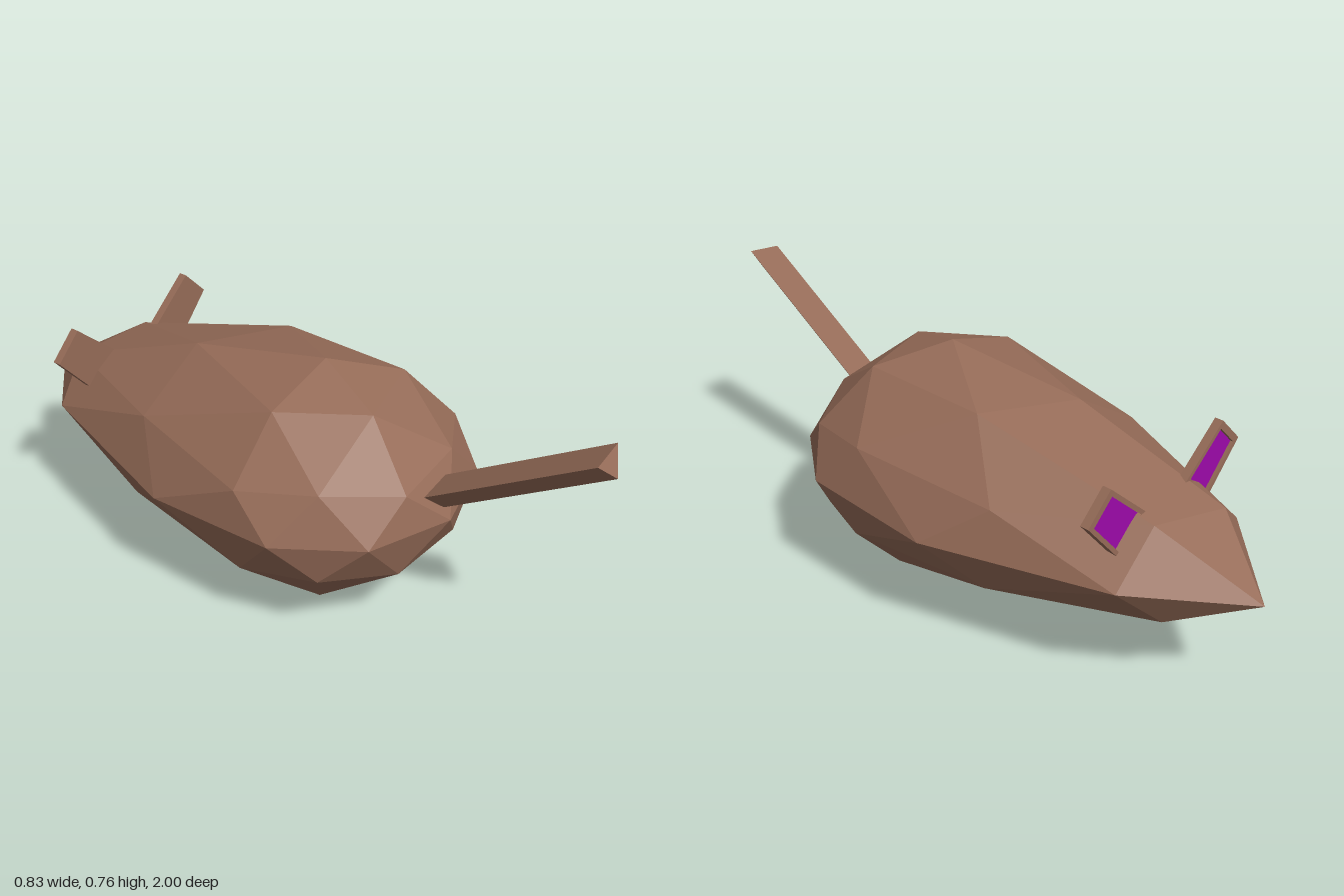
import * as THREE from 'three';

const fur = new THREE.MeshStandardMaterial({ color: 0x966c58, flatShading: true });
fur.name = 'brown fur';
const pink = new THREE.MeshStandardMaterial({ color: 0x9c0aaa, flatShading: true });
pink.name = 'purple inner ear';

// Linear lookup through [input, output] pairs sorted by input
function lookup(table, v) {
  for (let i = 1; i < table.length; i++) {
    const [a, fa] = table[i - 1], [b, fb] = table[i];
    if (v <= b) return fa + ((v - a) / (b - a)) * (fb - fa);
  }
  return table[table.length - 1][1];
}

function addMesh(parent, name, geometry, material) {
  const mesh = new THREE.Mesh(geometry, material);
  mesh.name = name;
  parent.add(mesh);
  return mesh;
}

// Faceted ball, flattened in height and drawn out to a pointed snout
function bodyGeometry() {
  const R = 0.437;
  const heights = [[0, 0], [0.447, 0.119], [0.526, 0.148], [0.851, 0.288], [1, 0.355]];
  const snout = [[0, 0], [0.309, 0.28], [0.5, 0.42], [0.809, 0.83], [0.851, 0.88], [1, 1.1]];
  const geo = new THREE.IcosahedronGeometry(1, 1).toNonIndexed();
  geo.rotateZ(Math.atan(2 / (1 + Math.sqrt(5)))); // a corner points straight up
  const p = geo.attributes.position;
  for (let i = 0; i < p.count; i++) {
    const x = p.getX(i), y = p.getY(i), z = p.getZ(i);
    let h = 0.357 + Math.sign(y) * lookup(heights, Math.abs(y));
    if (Math.abs(y) < 0.01) {
      // waistline dips at the flank and the nose
      h = z < -0.95 ? 0.335 : z < 0 && z > -0.5 ? 0.343 : 0.365;
    }
    p.setXYZ(i, x * R, h, 0.1 + (z < 0 ? -lookup(snout, -z) : z * R));
  }
  geo.computeVertexNormals();
  return geo;
}

// Ear outline, scaled about its middle
function earPoints(side, scale) {
  const corners = [[0.24, 0.645], [0.32, 0.565], [0.19, 0.42], [0.09, 0.515]];
  const cx = 0.21, cy = 0.536;
  return corners.map(([x, y]) =>
    new THREE.Vector2(side * (cx + (x - cx) * scale), cy + (y - cy) * scale));
}

function slab(shape, depth, z) {
  return new THREE.ExtrudeGeometry(shape, { depth, bevelEnabled: false }).translate(0, 0, z);
}

// Ear: solid plate towards the tail, raised rim and coloured floor towards the nose
function makeEar(side) {
  const ear = new THREE.Group();
  ear.name = side > 0 ? 'leftEar' : 'rightEar';
  const rim = new THREE.Shape(earPoints(side, 1));
  rim.holes.push(new THREE.Path(earPoints(side, 0.8)));
  addMesh(ear, 'earPlate', slab(new THREE.Shape(earPoints(side, 1)), 0.012, 0), fur);
  addMesh(ear, 'earRim', slab(rim, 0.014, -0.014), fur);
  addMesh(ear, 'innerEar', slab(new THREE.Shape(earPoints(side, 0.8)), 0.004, -0.004), pink);
  ear.position.z = side > 0 ? -0.672 : -0.655;
  return ear;
}

export function createModel() {
  const model = new THREE.Group();
  model.name = 'mouse';
  addMesh(model, 'body', bodyGeometry(), fur);

  // Three-sided tail, rising away from the rump
  const section = new THREE.Shape([
    new THREE.Vector2(-0.06, 0.018), new THREE.Vector2(-0.005, -0.038), new THREE.Vector2(0.05, 0.034),
  ]);
  const tail = addMesh(model, 'tail', slab(section, 0.62, -0.62), fur);
  tail.rotation.x = -0.55;
  tail.position.set(0, 0.73, 0.98);

  for (const side of [1, -1]) model.add(makeEar(side));
  return model;
}
